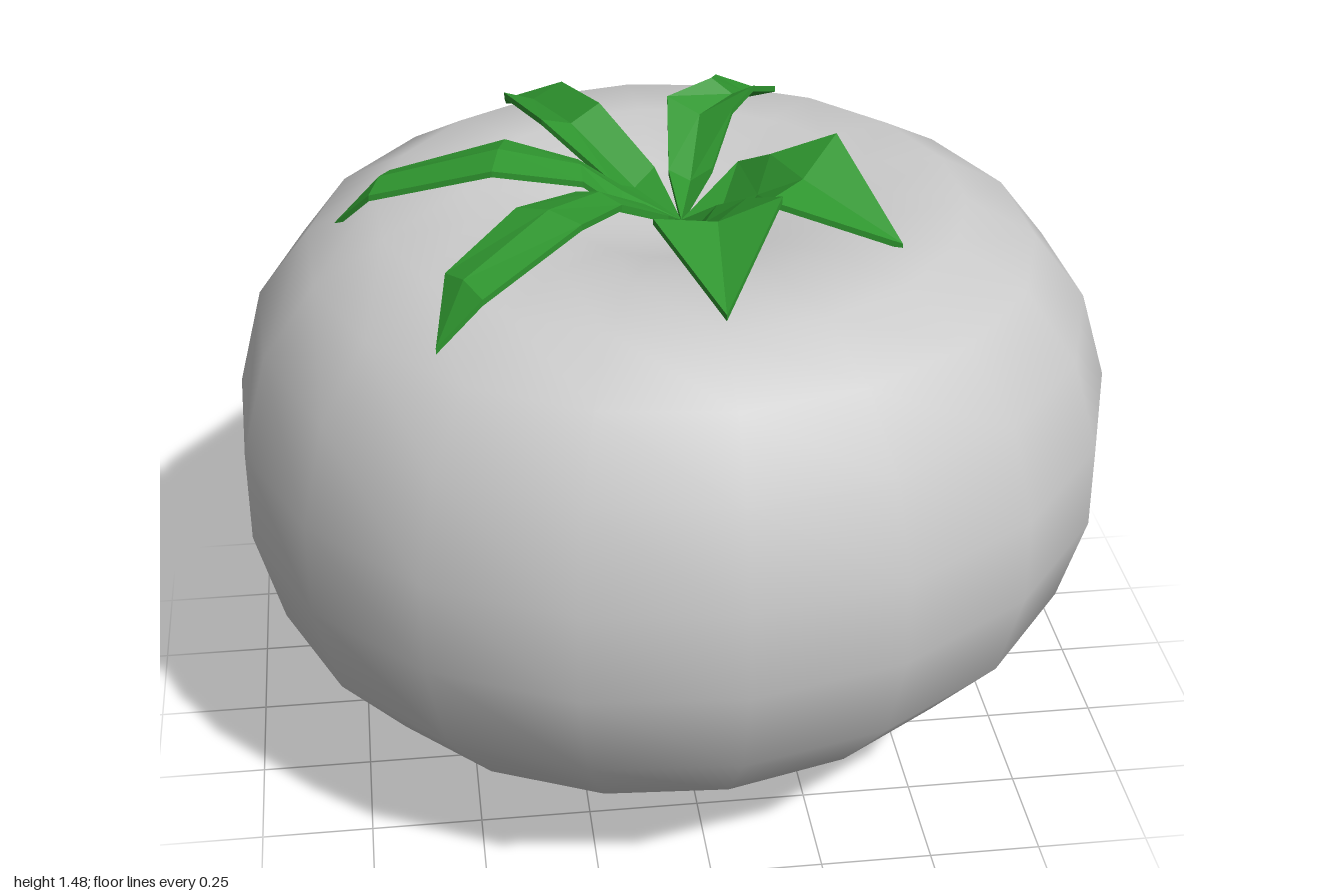
import * as THREE from 'three';
import { mergeVertices } from 'three/addons/utils/BufferGeometryUtils.js';

// Squat fruit body: 18-sided lathe with a dimpled top, underside leaning slightly in x
function makeBody() {
  const profile = [
    [0, 0], [0.26, 0.025], [0.54, 0.11], [0.78, 0.255], [0.94, 0.44], [1, 0.655], [1, 0.86],
    [0.94, 1.075], [0.82, 1.23], [0.66, 1.318], [0.46, 1.335], [0.24, 1.285], [0, 1.23],
  ].map(([r, y]) => new THREE.Vector2(r, y));
  let geo = new THREE.LatheGeometry(profile, 18, 0.04);
  const p = geo.attributes.position;
  for (let i = 0; i < p.count; i++) {
    const y = p.getY(i);
    p.setY(i, Math.max(0, y + 0.07 * p.getX(i) * Math.max(0, 1 - y / 1.1)));
  }
  geo.deleteAttribute('uv');
  geo.deleteAttribute('normal');
  geo = mergeVertices(geo, 1e-4);
  geo.computeVertexNormals();
  return new THREE.Mesh(geo, new THREE.MeshStandardMaterial({ color: 0xcccccc }));
}

const ROOT = [0.02, 1.275, 0.03];
const THICK = 0.014;

// rows: [leftX, leftZ, rightX, rightZ, y] outward from the root;
// fold: how far the crease lies below the edges; roll: extra height of the left edge
const SEPALS = [
  { name: 'frontSepal', fold: 0.04, roll: 0.03, tip: [0.04, 1.335, 0.61],
    rows: [[0.09, 0.1, -0.01, 0.1, 1.31], [0.14, 0.2, -0.04, 0.19, 1.37], [0.19, 0.37, -0.08, 0.35, 1.45]] },
  { name: 'leftSepal', fold: 0.04, roll: 0.04, tip: [0.46, 1.335, 0.33],
    rows: [[0.16, -0.06, 0.07, 0.12, 1.33], [0.22, 0.02, 0.14, 0.18, 1.38], [0.36, 0.06, 0.18, 0.26, 1.44]] },
  { name: 'backLeftSepal', fold: 0.03, roll: 0, tip: [0.28, 1.335, -0.56],
    rows: [[0.01, -0.12, 0.11, -0.12, 1.33], [0.03, -0.31, 0.17, -0.22, 1.43], [0.14, -0.36, 0.23, -0.3, 1.45],
      [0.17, -0.5, 0.3, -0.41, 1.40]] },
  { name: 'backRightSepal', fold: 0.03, roll: 0, tip: [-0.33, 1.335, -0.57],
    rows: [[-0.12, -0.06, -0.02, -0.14, 1.33], [-0.27, -0.21, -0.13, -0.29, 1.43], [-0.34, -0.45, -0.2, -0.5, 1.40]] },
  { name: 'rightSepal', fold: -0.015, roll: 0, tip: [-0.75, 1.265, -0.07],
    rows: [[-0.12, 0.06, -0.1, -0.04, 1.33], [-0.2, 0.05, -0.2, -0.07, 1.39], [-0.4, 0.06, -0.36, -0.11, 1.43],
      [-0.67, 0, -0.62, -0.13, 1.36]] },
  { name: 'frontRightSepal', fold: -0.015, roll: 0, tip: [-0.55, 1.265, 0.55],
    rows: [[-0.02, 0.12, -0.12, 0.05, 1.33], [-0.13, 0.2, -0.22, 0.12, 1.40], [-0.23, 0.35, -0.36, 0.25, 1.43],
      [-0.45, 0.53, -0.52, 0.4, 1.36]] },
];

// Thin folded leaf: six-point sections (three above, three below) joined in loops
function makeSepal({ name, fold, roll, tip, rows }, material) {
  const section = (l, m, r) => {
    const low = ([x, y, z]) => [x, y - THICK, z];
    return [l, m, r, low(r), low(m), low(l)];
  };
  const sections = [
    section(ROOT, ROOT, ROOT),
    ...rows.map(([lx, lz, rx, rz, y]) => section(
      [lx, y + roll, lz],
      [(lx + rx) / 2, y + roll / 2 - fold, (lz + rz) / 2],
      [rx, y - roll / 2, rz])),
    section(tip, tip, tip),
  ];
  const indices = [];
  for (let i = 0; i < sections.length - 1; i++) {
    for (let j = 0; j < 6; j++) {
      const a = i * 6 + j, b = i * 6 + (j + 1) % 6;
      indices.push(a, b, b + 6, a, b + 6, a + 6);
    }
  }
  const geo = new THREE.BufferGeometry();
  geo.setAttribute('position', new THREE.Float32BufferAttribute(sections.flat(2), 3));
  geo.setIndex(indices);
  geo.computeVertexNormals();
  const mesh = new THREE.Mesh(geo, material);
  mesh.name = name;
  return mesh;
}

export function createModel() {
  const model = new THREE.Group();
  model.name = 'tomato';

  const body = makeBody();
  body.name = 'body';
  model.add(body);

  // Green crown of six sepals
  const green = new THREE.MeshStandardMaterial({ color: 0x2f962f, flatShading: true, side: THREE.DoubleSide });
  const crown = new THREE.Group();
  crown.name = 'crown';
  SEPALS.forEach((s) => crown.add(makeSepal(s, green)));
  model.add(crown);
  return model;
}
